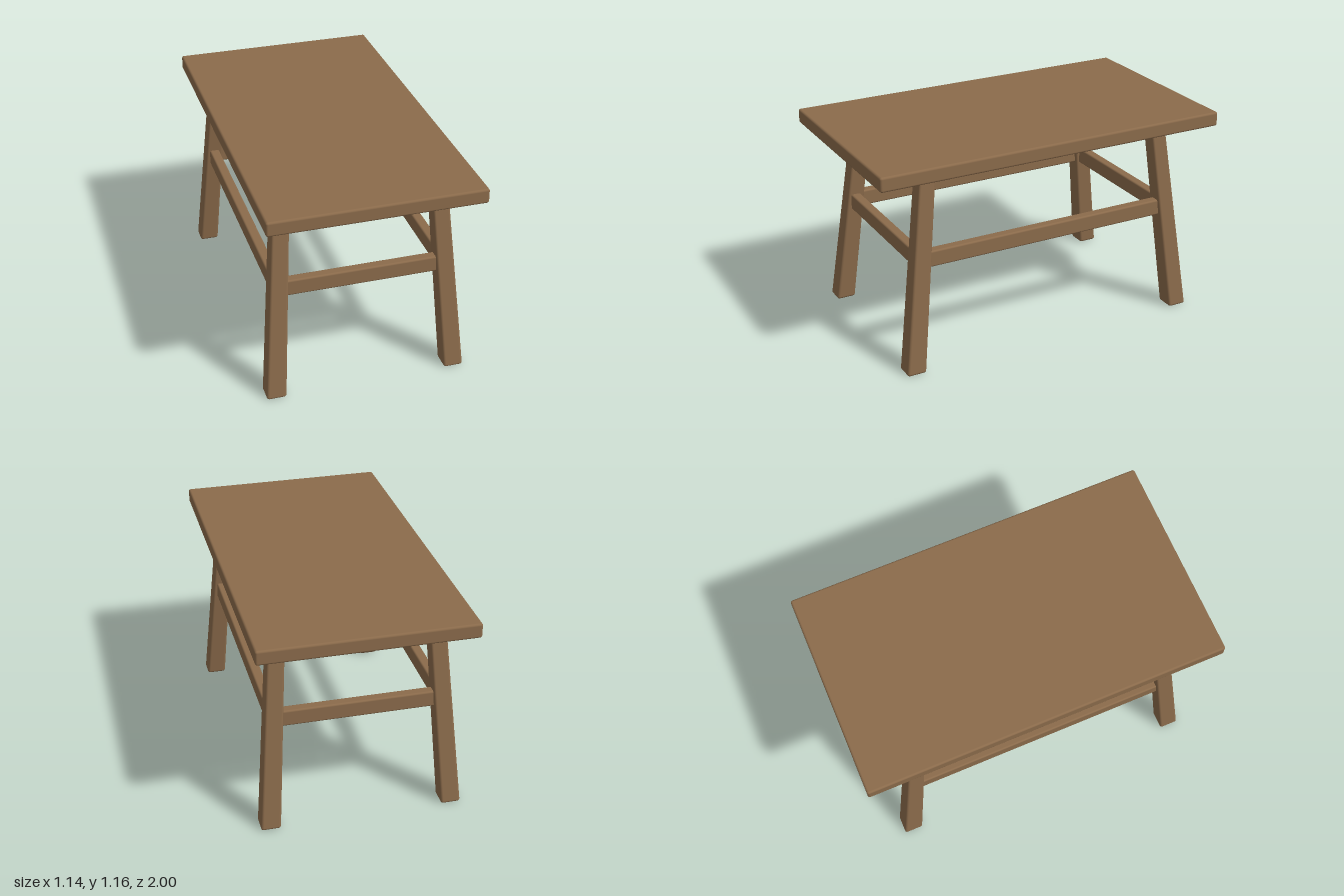
import * as THREE from 'three';
import { RoundedBoxGeometry } from 'three/addons/geometries/RoundedBoxGeometry.js';

const LEG_H = 1.09, OFFSET_X = -0.008;
const FOOT = { x: 0.494, z: 0.823, w: 0.107 };
const HEAD = { x: 0.417, z: 0.692, w: 0.088 };

// Tapered, splayed leg with a level foot
function legGeometry(sx, sz) {
  const g = new RoundedBoxGeometry(FOOT.w, LEG_H, FOOT.w, 3, 0.014);
  const p = g.attributes.position, n = g.attributes.normal;
  const kx = sx * (HEAD.x - FOOT.x) / LEG_H, kz = sz * (HEAD.z - FOOT.z) / LEG_H;
  const v = new THREE.Vector3();
  for (let i = 0; i < p.count; i++) {
    const y = p.getY(i) + LEG_H / 2;
    const s = THREE.MathUtils.lerp(1, HEAD.w / FOOT.w, y / LEG_H);
    p.setXYZ(i, p.getX(i) * s + sx * FOOT.x + kx * y, y, p.getZ(i) * s + sz * FOOT.z + kz * y);
    v.fromBufferAttribute(n, i);
    v.y -= kx * v.x + kz * v.z;
    v.normalize();
    n.setXYZ(i, v.x, v.y, v.z);
  }
  return g;
}

export function createModel() {
  const table = new THREE.Group();
  table.name = 'table';
  const wood = new THREE.MeshStandardMaterial({ color: 0x8b6b4b });
  wood.name = 'brown wood';

  const add = (name, geometry, x, y, z) => {
    const m = new THREE.Mesh(geometry, wood);
    m.name = name;
    m.position.set(x, y, z);
    table.add(m);
  };

  // Top board
  add('tableTop', new RoundedBoxGeometry(1.14, 0.08, 2, 3, 0.012), 0, 1.12, 0);

  // Four splayed legs
  for (const sz of [1, -1]) for (const sx of [1, -1]) {
    add((sz > 0 ? 'front' : 'back') + (sx > 0 ? 'Left' : 'Right') + 'Leg',
      legGeometry(sx, sz), OFFSET_X, 0, 0);
  }

  // Stretcher rails, their ends buried in the legs
  const railY = 0.615, t = railY / LEG_H;
  const cx = THREE.MathUtils.lerp(FOOT.x, HEAD.x, t);
  const cz = THREE.MathUtils.lerp(FOOT.z, HEAD.z, t);
  for (const s of [1, -1]) {
    add(s > 0 ? 'frontRail' : 'backRail',
      new RoundedBoxGeometry(cx * 2, 0.09, 0.055, 3, 0.01), OFFSET_X, railY, s * cz);
    add(s > 0 ? 'leftRail' : 'rightRail',
      new RoundedBoxGeometry(0.055, 0.09, cz * 2, 3, 0.01), s * cx + OFFSET_X, railY, 0);
  }
  return table;
}
